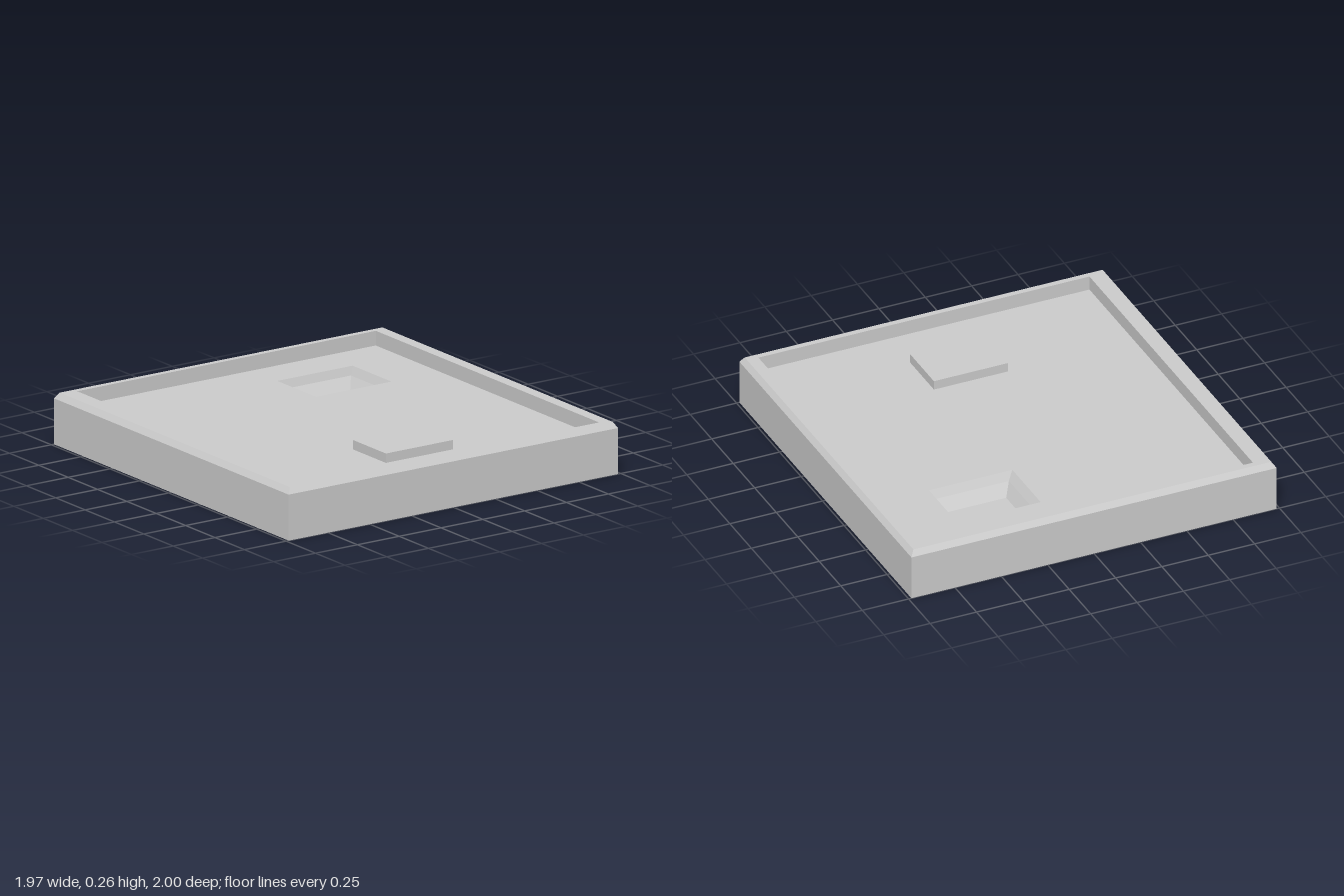
import * as THREE from 'three';

const material = new THREE.MeshStandardMaterial({ color: 0xcccccc, flatShading: true });

// Skin a series of rectangular rings [x0, x1, z0, z1, y], with optional end caps
function loftRects(rings, { capStart = false, capEnd = false } = {}) {
  const loops = rings.map(([x0, x1, z0, z1, y]) => [[x0, y, z1], [x1, y, z1], [x1, y, z0], [x0, y, z0]]);
  const pos = [];
  const quad = (a, b, c, d) => pos.push(...a, ...b, ...c, ...a, ...c, ...d);
  for (let r = 0; r < loops.length - 1; r++) {
    for (let i = 0; i < 4; i++) {
      const j = (i + 1) % 4;
      quad(loops[r][i], loops[r][j], loops[r + 1][j], loops[r + 1][i]);
    }
  }
  if (capStart) quad(...[...loops[0]].reverse());
  if (capEnd) quad(...loops[loops.length - 1]);
  const geo = new THREE.BufferGeometry();
  geo.setAttribute('position', new THREE.Float32BufferAttribute(pos, 3));
  geo.computeVertexNormals();
  return geo;
}

// Closed rectangle outline in the ground plane (shape y = -z)
function rectOutline(target, [x0, x1, z0, z1]) {
  target.moveTo(x0, -z1).lineTo(x1, -z1).lineTo(x1, -z0).lineTo(x0, -z0).closePath();
  return target;
}

export function createModel() {
  const group = new THREE.Group();
  const add = (name, geometry) => {
    const mesh = new THREE.Mesh(geometry, material);
    mesh.name = name;
    group.add(mesh);
    return mesh;
  };

  const floorY = 0.19, topY = 0.265;
  const tray = [-0.88, 0.905, -0.95, 0.95];
  const opening = [0.165, 0.615, -0.735, -0.405];

  // Block with chamfered rim and the inner wall of the tray
  add('body', loftRects([
    [-0.985, 0.985, -1, 1, 0],
    [-0.985, 0.985, -1, 1, 0.235],
    [-0.965, 0.965, -0.98, 0.98, topY],
    [...tray, topY],
    [...tray, floorY],
  ], { capStart: true }));

  // Tray floor with the opening cut out
  const floorShape = rectOutline(new THREE.Shape(), tray);
  floorShape.holes.push(rectOutline(new THREE.Path(), opening));
  add('trayFloor', new THREE.ShapeGeometry(floorShape).rotateX(-Math.PI / 2).translate(0, floorY, 0));

  // Pit with bevelled lip and sloping walls
  add('pit', loftRects([
    [...opening, floorY],
    [0.195, 0.595, -0.72, -0.43, 0.147],
    [0.23, 0.555, -0.67, -0.475, 0.085],
  ], { capEnd: true }));

  // Raised pad near the front
  const padHeight = 0.048;
  add('raisedPad', new THREE.BoxGeometry(0.4, padHeight, 0.28)).position.set(0, floorY + padHeight / 2, 0.57);

  return group;
}
